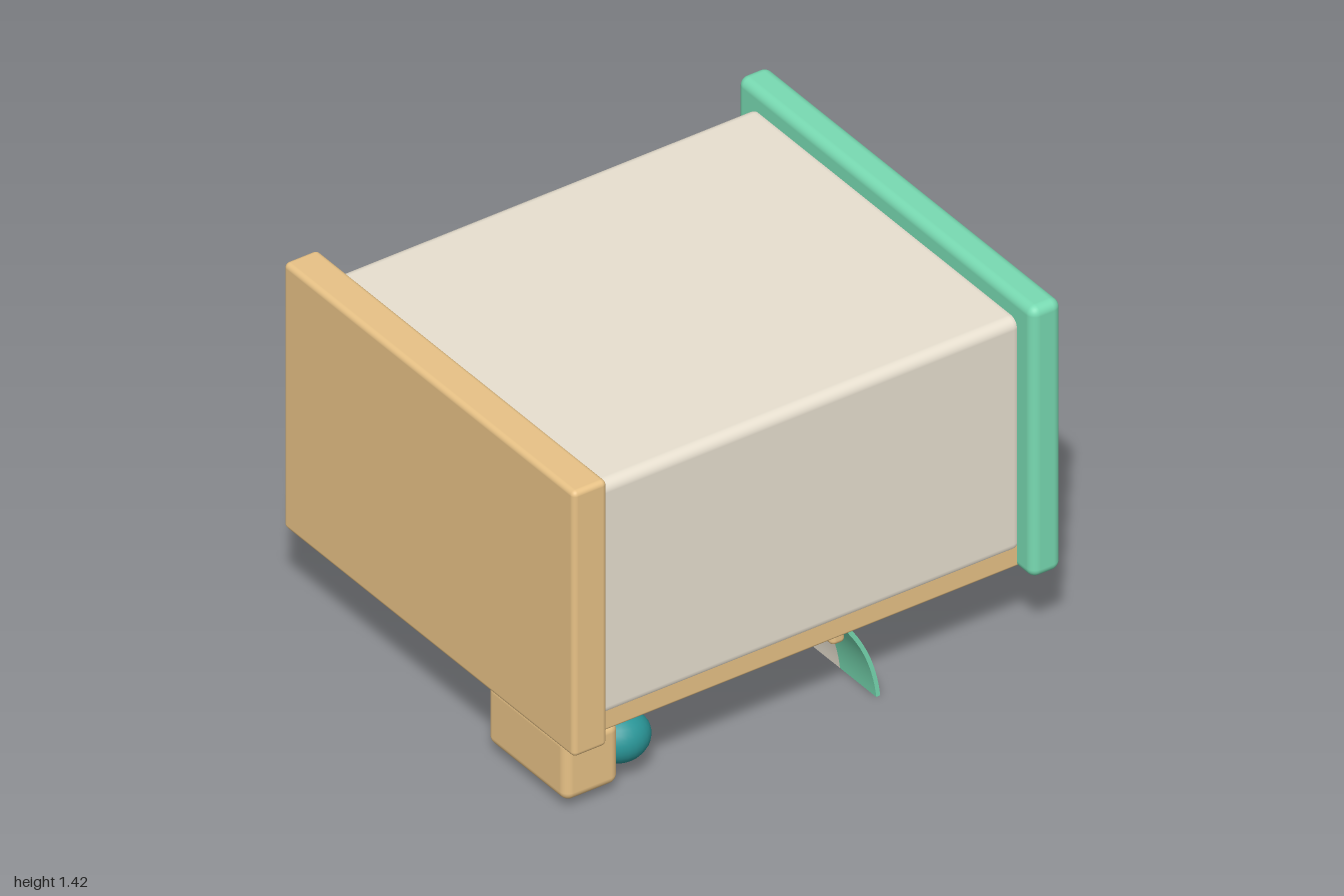
import * as THREE from 'three';
import { RoundedBoxGeometry } from 'three/addons/geometries/RoundedBoxGeometry.js';
import { toCreasedNormals } from 'three/addons/utils/BufferGeometryUtils.js';

const mat = (color) => new THREE.MeshStandardMaterial({ color });
const TAN = mat(0xe8c286), GREEN = mat(0x78dab2), CREAM = mat(0xe8e0d0);
const TEAL = mat(0x2a9698), GLASS = mat(0x12242e), ORANGE = mat(0xd9822b);

// Little shop building resting on its back: roof towards -z, facade facing down (-y)
export function createModel() {
  const group = new THREE.Group();

  const add = (name, geometry, material) => {
    const mesh = new THREE.Mesh(geometry, material);
    mesh.name = name;
    group.add(mesh);
    return mesh;
  };
  // Rounded box given by its extents
  const box = (name, material, [x0, x1], [y0, y1], [z0, z1], r) => {
    const geometry = new RoundedBoxGeometry(x1 - x0, y1 - y0, z1 - z0, 4, r);
    const mesh = add(name, geometry, material);
    mesh.position.set((x0 + x1) / 2, (y0 + y1) / 2, (z0 + z1) / 2);
    return mesh;
  };
  const ball = (name, material, radius, position, scale) => {
    const mesh = add(name, new THREE.SphereGeometry(radius, 24, 16), material);
    mesh.position.set(...position);
    mesh.scale.set(...scale);
    return mesh;
  };

  // Main masses
  box('walls', CREAM, [-0.775, 0.775], [0.39, 1.34], [-0.9, 0.9], 0.04);
  box('baseSlab', TAN, [-0.845, 0.845], [0.33, 1.41], [0.86, 1], 0.02);
  box('roofSlab', GREEN, [-0.86, 0.86], [0.32, 1.42], [-1, -0.875], 0.035);

  // Corner pilasters, upper windows and sills
  for (const s of [1, -1]) {
    const span = (a, b) => (s > 0 ? [a, b] : [-b, -a]);
    box('pilaster', TAN, span(0.68, 0.77), [0.33, 0.45], [-0.9, 0.88], 0.012);
    box('upperWindowFrame', GREEN, span(0.1, 0.6), [0.335, 0.42], [-0.8, -0.24], 0.03);
    box('upperWindowPane', GLASS, span(0.15, 0.55), [0.31, 0.36], [-0.72, -0.29], 0.008);
    box('upperWindowMullion', TAN, span(0.338, 0.362), [0.29, 0.312], [-0.69, -0.29], 0.006);
    box('windowSill', TAN, span(0.05, 0.65), [0.2, 0.4], [-0.26, -0.2], 0.02);
  }

  // Shop window
  box('shopWindowFrame', TEAL, [0.06, 0.6], [0.325, 0.42], [0.09, 0.71], 0.03);
  box('shopWindowPane', GLASS, [0.11, 0.55], [0.297, 0.345], [0.18, 0.63], 0.008);

  // Door and knob
  box('doorFrame', GREEN, [-0.58, -0.06], [0.335, 0.42], [0, 0.88], 0.03);
  box('doorPanel', GLASS, [-0.5, -0.14], [0.315, 0.36], [0.05, 0.87], 0.008);
  ball('doorKnob', ORANGE, 0.018, [-0.19, 0.297, 0.5], [1, 1, 1]);

  // Hanging plate with a paw relief
  box('signPlate', TAN, [0.17, 0.49], [0.265, 0.297], [0.06, 0.22], 0.014);
  ball('pawPad', ORANGE, 0.03, [0.33, 0.258, 0.165], [1.1, 0.75, 0.9]);
  for (const [x, z] of [[-0.044, 0.142], [-0.016, 0.122], [0.016, 0.122], [0.044, 0.142]]) {
    ball('pawToe', ORANGE, 0.015, [0.33 + x, 0.255, z], [1, 1, 1]);
  }

  // Planter with a row of bushes
  box('planter', TAN, [0.245, 0.705], [0.04, 0.29], [0.71, 0.935], 0.035);
  for (let i = 0; i < 7; i++) {
    ball('bush', TEAL, 0.093, [0.308 + i * 0.0525, 0.165, 0.65], [1, 1, 1.18]);
  }

  // Striped awning: a thin curved strip swept across each stripe
  const curve = new THREE.QuadraticBezierCurve(
    new THREE.Vector2(-0.18, 0.35), new THREE.Vector2(-0.305, 0.2), new THREE.Vector2(-0.327, 0.004));
  const outer = [], inner = [];
  for (let i = 0; i <= 16; i++) {
    const p = curve.getPoint(i / 16), t = curve.getTangent(i / 16);
    outer.push(new THREE.Vector2(p.x + t.y * 0.008, p.y - t.x * 0.008));
    inner.unshift(new THREE.Vector2(p.x - t.y * 0.008, p.y + t.x * 0.008));
  }
  const profile = new THREE.Shape([...outer, ...inner]);
  const width = 1.48 / 7;
  for (let i = 0; i < 7; i++) {
    const geometry = new THREE.ExtrudeGeometry(profile, { depth: width, bevelEnabled: false });
    geometry.rotateY(-Math.PI / 2);
    const stripe = add('awningStripe', toCreasedNormals(geometry, 0.6), i % 2 ? CREAM : GREEN);
    stripe.position.x = -0.74 + width * (i + 1);
  }

  return group;
}
